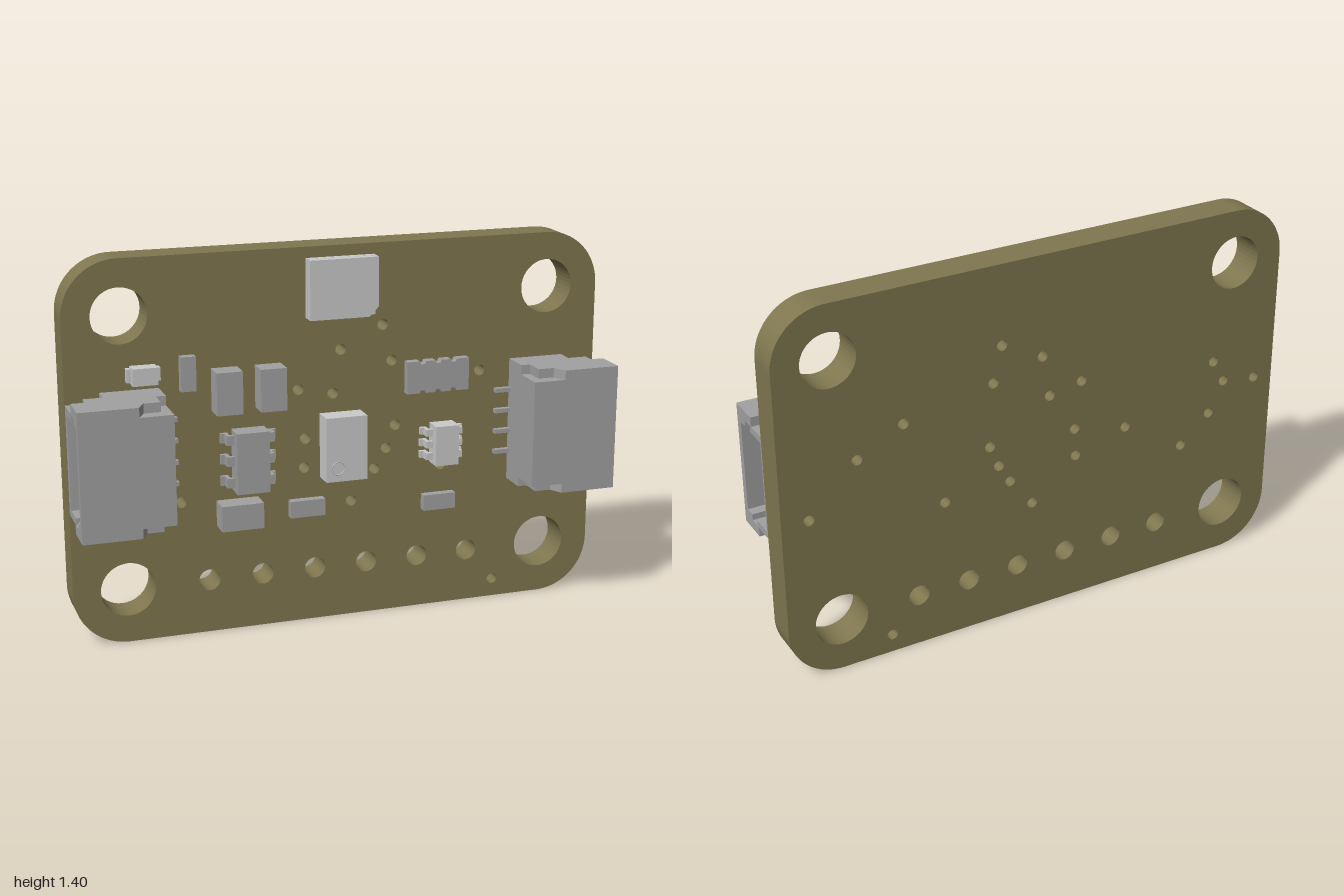
import * as THREE from 'three';

const FRONT = -0.055; // front face of the board
const BACK = -0.18;
const olive = new THREE.MeshStandardMaterial({ color: 0x807750 });
const light = new THREE.MeshStandardMaterial({ color: 0xcccccc });
const dark = new THREE.MeshStandardMaterial({ color: 0xa2a2a2 });

function add(parent, name, geometry, material) {
  const mesh = new THREE.Mesh(geometry, material);
  mesh.name = name;
  parent.add(mesh);
  return mesh;
}

// Box given by its two extremes on every axis
function box(x0, x1, y0, y1, z0, z1) {
  return new THREE.BoxGeometry(Math.abs(x1 - x0), y1 - y0, z1 - z0)
    .translate((x0 + x1) / 2, (y0 + y1) / 2, (z0 + z1) / 2);
}

const toShape = (pts) => new THREE.Shape(pts.map(([a, b]) => new THREE.Vector2(a, b)));
const extrude = (shape, depth, curveSegments = 12) =>
  new THREE.ExtrudeGeometry(shape, { depth, bevelEnabled: false, curveSegments });

// Outline in x,y extruded along z
const frontPlate = (pts, z0, z1) => extrude(toShape(pts), z1 - z0).translate(0, 0, z0);
// Outline in x,z extruded along y
const flatPlate = (pts, y0, y1) =>
  extrude(toShape(pts.map(([x, z]) => [x, -z])), y1 - y0).rotateX(-Math.PI / 2).translate(0, y0, 0);

// Rounded board with mounting, header and via holes
function board() {
  const r = 0.2, s = new THREE.Shape();
  s.absarc(1 - r, r, r, -Math.PI / 2, 0);
  s.absarc(1 - r, 1.4 - r, r, 0, Math.PI / 2);
  s.absarc(-1 + r, 1.4 - r, r, Math.PI / 2, Math.PI);
  s.absarc(-1 + r, r, r, Math.PI, Math.PI * 1.5);
  const hole = (x, y, radius) =>
    s.holes.push(new THREE.Path().absarc(x, y, radius, 0, Math.PI * 2, true));
  for (const x of [-0.8, 0.8]) for (const y of [0.2, 1.2]) hole(x, y, 0.1);
  for (let i = 0; i < 6; i++) hole(-0.5 + i * 0.2, 0.2, 0.04);
  const vias = [
    [0.16, 1.1], [0, 1.02], [0.195, 0.965], [0.54, 0.9], [-0.16, 0.885], [-0.03, 0.86],
    [0.21, 0.72], [-0.135, 0.7], [0.175, 0.635], [0.13, 0.56], [-0.14, 0.59], [0.39, 0.55],
    [-0.6, 0.505], [0.04, 0.445], [0.61, 0.07], [0.715, 0.81], [0.9, 0.63], [-0.35, 0.65],
    [-0.73, 0.82], [-0.78, 0.73], [-0.92, 0.71], [-0.72, 0.61],
  ];
  for (const [x, y] of vias) hole(x, y, 0.02);
  return extrude(s, FRONT - BACK, 20).translate(0, 0, BACK);
}

// Four-pin side connector opening outwards; side is +1 or -1
function connector(side, outer) {
  const g = new THREE.Group();
  g.name = side > 0 ? 'leftConnector' : 'rightConnector';
  const inner = outer - 0.33, wall = inner + 0.055;
  // Open shell
  const shell = toShape([[-0.178, 0.505], [0.055, 0.505], [0.055, 0.9], [-0.178, 0.9]]);
  const cavity = [
    [-0.15, 0.53], [-0.11, 0.53], [-0.11, 0.507], [-0.065, 0.507], [-0.065, 0.53], [0.02, 0.53],
    [0.02, 0.875], [-0.065, 0.875], [-0.065, 0.898], [-0.11, 0.898], [-0.11, 0.875], [-0.15, 0.875],
  ];
  shell.holes.push(new THREE.Path(cavity.map(([a, b]) => new THREE.Vector2(a, b))));
  add(g, 'connectorShell', extrude(shell, outer - wall).rotateY(Math.PI / 2)
    .translate(side > 0 ? wall : -outer, 0, 0), dark);
  add(g, 'connectorBackWall', box(side * inner, side * wall, 0.505, 0.9, FRONT, 0.178), dark);
  // Stepped flanges above and below the shell
  const outline = [
    [0, 0.178], [0.21, 0.178], [0.235, 0.13], [0.295, 0.13], [0.295, 0.055], [0.33, 0.055],
    [0.33, FRONT], [0.12, FRONT], [0.12, 0.01], [0.05, 0.01], [0.05, -0.055 + 0.0], [0.05, 0.055], [0, 0.055],
  ].filter(([d, z]) => !(d === 0.05 && z < 0)).map(([d, z]) => [side * (outer - d), z]);
  for (const y of [0.47, 0.9]) add(g, 'connectorFlange', flatPlate(outline, y, y + 0.035), dark);
  // Contacts inside and solder tails outside
  for (let i = 0; i < 4; i++) {
    const y = 0.583 + i * 0.079;
    add(g, 'contactPin', box(side * (wall - 0.01), side * (outer - 0.06), y - 0.008, y + 0.008, 0.08, 0.113), dark);
    add(g, 'solderTail', box(side * (inner - 0.06), side * (inner + 0.01), y - 0.008, y + 0.008, FRONT, -0.035), dark);
  }
  return g;
}

// Chip with bent leads on both sides
function leadedChip(name, cx, halfBody, halfSpan, y0, y1, top, leadYs, leadWidth, material) {
  const g = new THREE.Group();
  g.name = name;
  add(g, 'chipBody', box(cx - halfBody, cx + halfBody, y0, y1, FRONT + 0.008, top), material);
  const t = 0.014, shoulder = (FRONT + top) / 2 + 0.008, bend = (halfBody + halfSpan) / 2;
  for (const s of [-1, 1]) {
    const profile = [
      [halfSpan, FRONT], [halfSpan, FRONT + t], [bend + t / 2, FRONT + t], [bend + t / 2, shoulder],
      [halfBody - 0.01, shoulder], [halfBody - 0.01, shoulder - t], [bend - t / 2, shoulder - t], [bend - t / 2, FRONT],
    ].map(([x, z]) => [cx + s * x, z]);
    for (const y of leadYs) add(g, 'chipLead', flatPlate(profile, y - leadWidth / 2, y + leadWidth / 2), material);
  }
  return g;
}

export function createModel() {
  const model = new THREE.Group();
  model.name = 'sensorBoard';
  add(model, 'board', board(), olive);
  model.add(connector(1, 0.99), connector(-1, 0.998));

  // Plain block components: x0, x1, y0, y1, top
  const blocks = [
    ['resistor', -0.595, -0.54, 0.92, 1.045, -0.023],
    ['capacitor', -0.48, -0.385, 0.835, 0.99, 0.025],
    ['capacitor', -0.32, -0.225, 0.835, 0.99, 0.025],
    ['capacitor', -0.47, -0.315, 0.405, 0.5, 0.025],
    ['resistor', -0.2, -0.07, 0.412, 0.475, -0.023],
    ['resistor', 0.315, 0.44, 0.385, 0.445, -0.023],
  ];
  for (const [name, x0, x1, y0, y1, top] of blocks)
    add(model, name, box(x0, x1, y0, y1, FRONT, top), dark);

  // Leaded chips
  model.add(
    leadedChip('regulatorChip', -0.352, 0.06, 0.102, 0.54, 0.765, 0.03, [0.575, 0.655, 0.733], 0.035, dark),
    leadedChip('transistorChip', 0.387, 0.045, 0.083, 0.57, 0.72, 0.025, [0.6, 0.645, 0.69], 0.026, light));

  // Resistor array with notched long edges
  const array = [], x0 = 0.245, x1 = 0.485;
  for (const [edge, dir] of [[0.84, 1], [0.96, -1]]) {
    const at = (u) => (dir > 0 ? x0 + u * (x1 - x0) : x1 - u * (x1 - x0));
    array.push([at(0), edge]);
    for (const u of [0.25, 0.5, 0.75])
      array.push([at(u - 0.05), edge], [at(u - 0.03), edge + dir * 0.011],
        [at(u + 0.03), edge + dir * 0.011], [at(u + 0.05), edge]);
    array.push([at(1), edge]);
  }
  add(model, 'resistorArray', frontPlate(array, FRONT, -0.022), dark);

  // Indicator lamp with end caps
  add(model, 'lampBody', box(-0.77, -0.68, 0.96, 1.022, FRONT, 0), light);
  add(model, 'lampTerminals', box(-0.785, -0.665, 0.967, 1.015, FRONT, -0.03), light);

  // Sensor block with a ring marking the first pin
  add(model, 'sensor', box(-0.08, 0.075, 0.55, 0.79, FRONT, 0.025), light);
  add(model, 'pinMarker', new THREE.TorusGeometry(0.024, 0.002, 6, 24).translate(-0.035, 0.6, 0.025), light);

  // Top module with one chamfered corner over a narrower base
  add(model, 'moduleBase', box(-0.12, 0.115, 1.16, 1.36, FRONT, -0.03), light);
  add(model, 'moduleCover', frontPlate(
    [[-0.13, 1.145], [0.09, 1.145], [0.125, 1.18], [0.125, 1.36], [-0.13, 1.36]], -0.028, 0), light);
  add(model, 'moduleLowerCover', box(-0.13, 0.125, 1.145, 1.36, FRONT, -0.034), light);
  return model;
}
